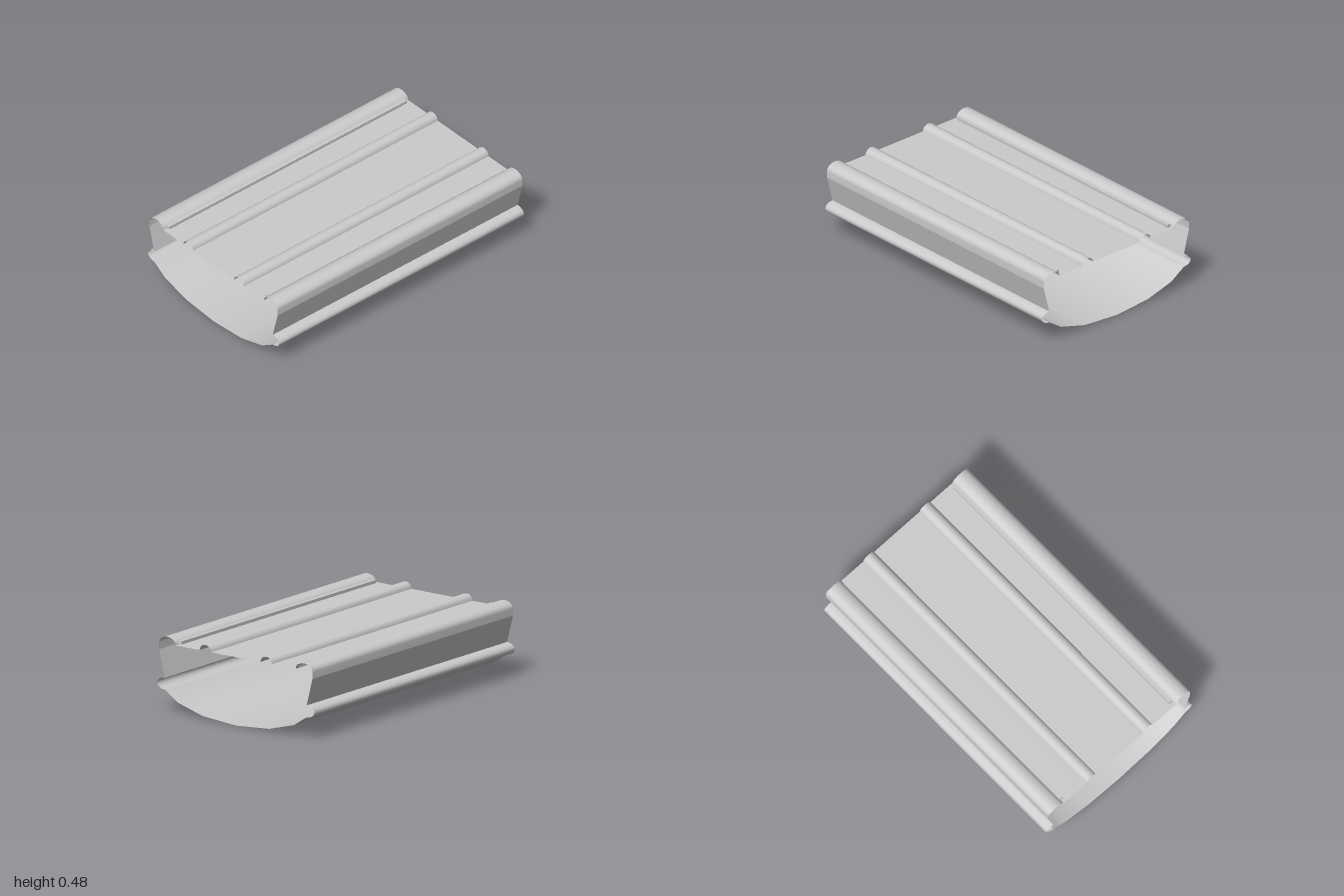
import * as THREE from 'three';

const material = new THREE.MeshStandardMaterial({ color: 0xcccccc, side: THREE.DoubleSide });
const PLATE_Y = 0.435;

// Sheet swept along x from a cross-section of [z, y] points, smooth across its width
function sheet(name, points) {
  const positions = [], index = [];
  points.forEach(([z, y], i) => {
    positions.push(1, y, z, -1, y, z);
    if (i > 0) {
      const a = 2 * i - 2;
      index.push(a, a + 2, a + 1, a + 1, a + 2, a + 3);
    }
  });
  const geometry = new THREE.BufferGeometry();
  geometry.setAttribute('position', new THREE.Float32BufferAttribute(positions, 3));
  geometry.setIndex(index);
  geometry.computeVertexNormals();
  const mesh = new THREE.Mesh(geometry, material);
  mesh.name = name;
  return mesh;
}

// Elliptical arc of [z, y] points
function arc(cz, cy, rz, ry, from, to, steps) {
  return Array.from({ length: steps + 1 }, (_, i) => {
    const t = (from + (to - from) * i / steps) * Math.PI;
    return [cz + rz * Math.cos(t), cy + ry * Math.sin(t)];
  });
}

const mirrored = (points) => points.map(([z, y]) => [-z, y]).reverse();

export function createModel() {
  const group = new THREE.Group();

  // Cross-sections of the front half, running outside up and over the top
  const halfParts = {
    SideBead: arc(0.555, 0.178, 0.06, 0.038, -0.5, 0.5, 8),
    SideWall: [[0.555, 0.216], [0.6, 0.39]],
    EdgeRail: [[0.6, 0.39], ...arc(0.535, PLATE_Y, 0.065, 0.045, 0, 1, 10)],
    OuterDeck: [[0.47, PLATE_Y], [0.283, PLATE_Y]],
    DeckRidge: arc(0.238, PLATE_Y, 0.045, 0.04, 0, 1, 8),
  };
  for (const [name, points] of Object.entries(halfParts)) {
    group.add(sheet('front' + name, points));
    group.add(sheet('back' + name, mirrored(points)));
  }

  // Flat deck between the ridges
  group.add(sheet('centreDeck', [[0.193, PLATE_Y], [-0.193, PLATE_Y]]));

  // Shallow curved belly
  const belly = [[0, 0], [0.26, 0.02], [0.455, 0.075], [0.555, 0.14]];
  group.add(sheet('belly', [...mirrored(belly.slice(1)), ...belly]));

  // Thin bars lying along the inner edge of each rail
  for (const side of [1, -1]) {
    const bar = new THREE.Mesh(new THREE.BoxGeometry(1.94, 0.02, 0.026), material);
    bar.position.set(0, 0.447, side * 0.462);
    bar.name = side > 0 ? 'frontBar' : 'backBar';
    group.add(bar);
  }
  return group;
}
